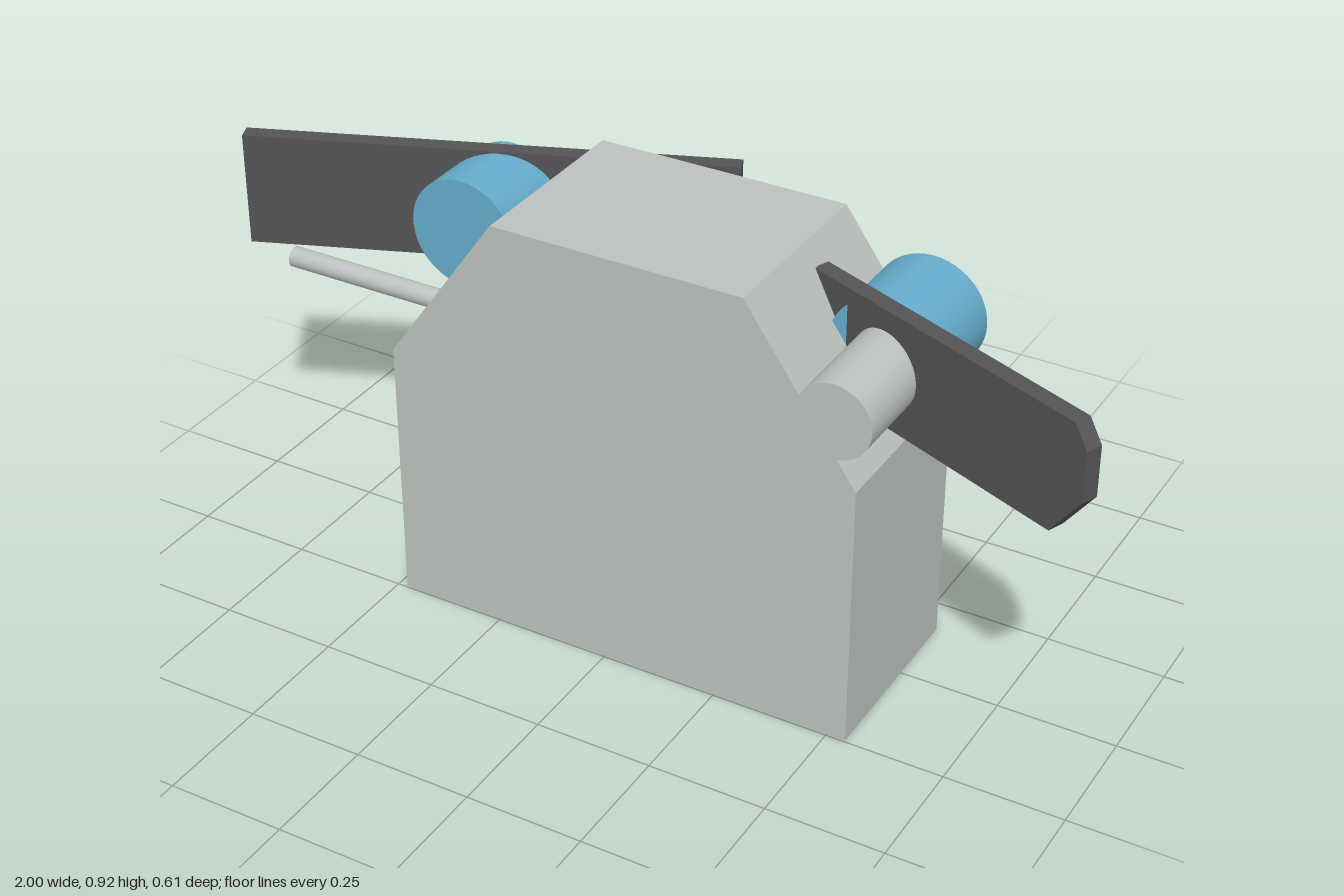
import * as THREE from 'three';

const grey = new THREE.MeshStandardMaterial({ name: 'pale grey', color: 0xbcc2bf });
const blue = new THREE.MeshStandardMaterial({ name: 'blue', color: 0x66accc });
const dark = new THREE.MeshStandardMaterial({ name: 'charcoal', color: 0x545356 });

export function createModel() {
  const model = new THREE.Group();

  const add = (name, geometry, material, x = 0, y = 0, z = 0) => {
    const mesh = new THREE.Mesh(geometry, material);
    mesh.name = name;
    mesh.position.set(x, y, z);
    model.add(mesh);
    return mesh;
  };
  const extrude = (points, depth) => new THREE.ExtrudeGeometry(
    new THREE.Shape(points.map(([x, y]) => new THREE.Vector2(x, y))),
    { depth, bevelEnabled: false });
  // Cylinder lying along z between two depths
  const barrel = (name, radius, x, y, z0, z1, material) => add(name,
    new THREE.CylinderGeometry(radius, radius, z1 - z0, 48).rotateX(Math.PI / 2),
    material, x, y, (z0 + z1) / 2);

  // House-shaped body with sloping shoulders
  add('body', extrude([[-0.48, 0], [0.54, 0], [0.54, 0.575], [0.3, 0.916], [-0.24, 0.916], [-0.48, 0.575]], 0.412),
    grey, 0, 0, -0.166);

  // Square pegs on the back; the left one has a small slot in its outer face
  add('rightPeg', new THREE.BoxGeometry(0.12, 0.12, 0.075), grey, -0.34, 0.155, -0.2025);
  add('leftPeg', new THREE.BoxGeometry(0.09, 0.12, 0.075), grey, 0.375, 0.155, -0.2025);
  const slotted = extrude([[0.165, 0.095], [0.24, 0.095], [0.24, 0.215], [0.165, 0.215],
    [0.165, 0.208], [0.18, 0.208], [0.18, 0.16], [0.165, 0.16]], 0.03).rotateY(Math.PI / 2);
  add('leftPegSlottedEnd', slotted, grey, 0.42, 0, 0);

  // Side rod
  add('sideRod', new THREE.CylinderGeometry(0.023, 0.023, 0.54, 24).rotateZ(Math.PI / 2), grey, -0.73, 0.463, -0.122);

  // Shoulder drums and the shaft through the left one
  const axisY = 0.752;
  barrel('rightDrum', 0.118, -0.438, axisY, -0.143, 0.05, blue);
  barrel('leftDrum', 0.118, 0.495, axisY, -0.143, 0.052, blue);
  barrel('leftShaft', 0.078, 0.515, axisY, -0.15, 0.302, grey);
  barrel('leftShaftTip', 0.03, 0.515, axisY, -0.156, -0.14, grey);

  // Slanted paddles, the left one with a clipped outer end
  const thickness = 0.036, low = -0.122, high = 0.122;
  const paddle = (name, points, x, z, angle) => {
    const geometry = extrude(points, thickness).translate(0, 0, -thickness / 2);
    add(name, geometry, dark, x, axisY, z).rotation.y = angle;
  };
  paddle('rightPaddle', [[-0.508, low], [0.508, low], [0.508, high], [-0.508, high]], -0.462, -0.097, 0.382);
  paddle('leftPaddle', [[0, low], [0.64, low], [0.712, -0.027], [0.712, 0.078], [0.68, high], [0, high]],
    0.332, -0.001, -0.385);

  return model;
}
